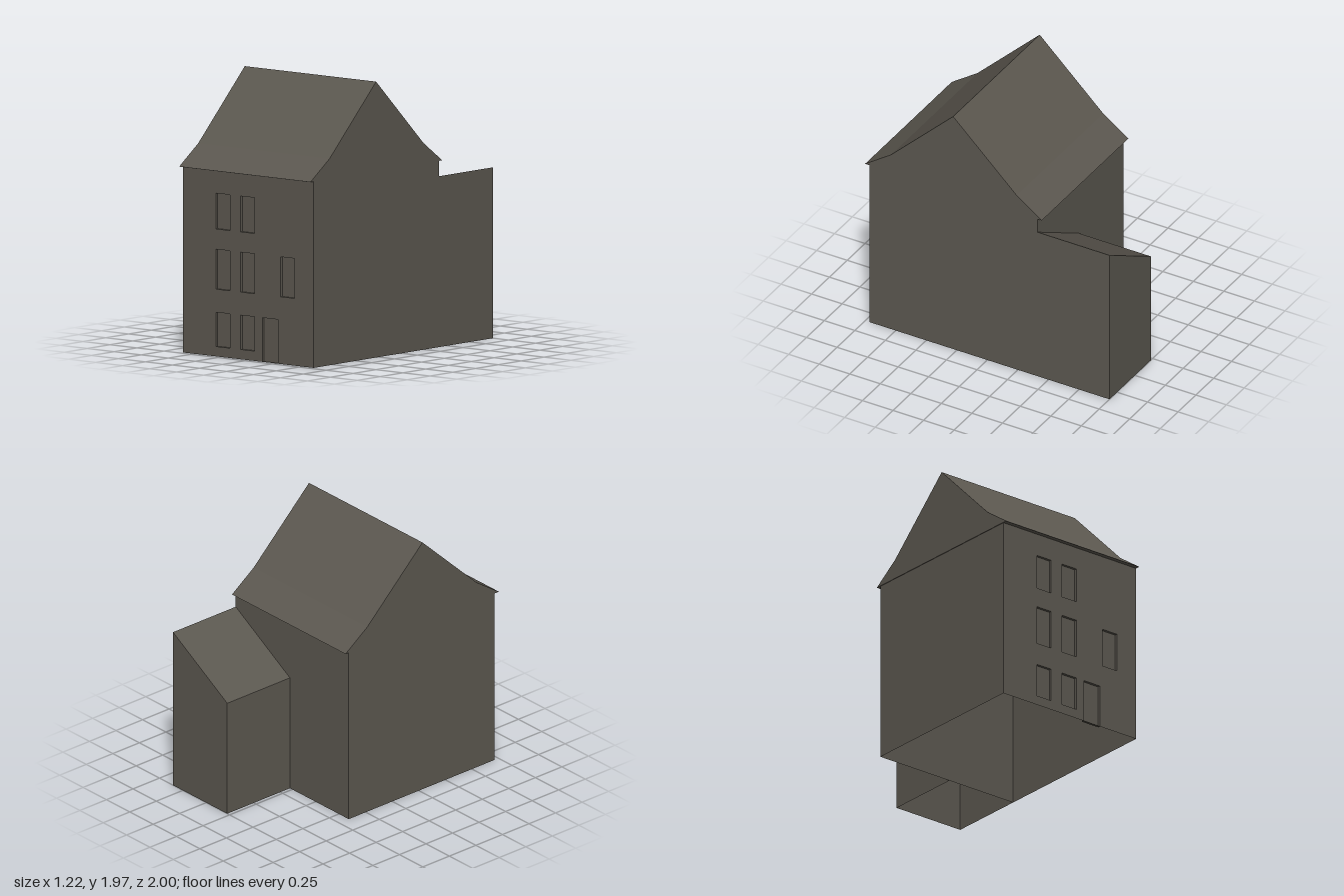
import * as THREE from 'three';

export function createModel() {
  const house = new THREE.Group();
  house.name = 'house';
  const stone = new THREE.MeshStandardMaterial({ color: 0x5b574f, side: THREE.DoubleSide });
  stone.name = 'grey stone';

  const add = (name, geometry, x = 0, y = 0, z = 0) => {
    const mesh = new THREE.Mesh(geometry, stone);
    mesh.name = name;
    mesh.position.set(x, y, z);
    house.add(mesh);
    return mesh;
  };
  const outline = (points) => new THREE.Shape(points.map(([x, y]) => new THREE.Vector2(x, y)));
  const flat = (points) => new THREE.ShapeGeometry(outline(points));

  const W = 0.605, FRONT = 0.965, BACK = -0.41, END = -1, EAVE = 1.33;
  const ANNEX_X = 0.025, ANNEX_HIGH = 1.22, ANNEX_LOW = 0.88, RECESS = 0.02;

  // Openings: [name, left, right, bottom, top]
  const openings = [['door', 0.13, 0.275, 0, 0.315], ['window', 0.3, 0.43, 0.48, 0.765]];
  for (const [bottom, top] of [[0.07, 0.315], [0.48, 0.765], [0.91, 1.165]]) {
    for (const left of [-0.3, -0.07]) openings.push(['window', left, left + 0.13, bottom, top]);
  }

  // Front wall: the door notches the outline, the windows are holes
  const wall = outline([[-W, 0], [0.13, 0], [0.13, 0.315], [0.275, 0.315], [0.275, 0], [W, 0], [W, EAVE], [-W, EAVE]]);
  for (const [name, l, r, b, t] of openings) {
    if (name === 'window') {
      wall.holes.push(new THREE.Path([[l, b], [l, t], [r, t], [r, b]].map(([x, y]) => new THREE.Vector2(x, y))));
    }
    // Recess: a shallow box without its front face
    const box = new THREE.BoxGeometry(r - l, t - b, RECESS);
    const index = Array.from(box.index.array);
    index.splice(24, 6);
    box.setIndex(index);
    box.clearGroups();
    add(name, box, (l + r) / 2, (b + t) / 2, FRONT - RECESS / 2);
  }
  add('frontWall', new THREE.ShapeGeometry(wall), 0, 0, FRONT);

  // Back wall
  add('backWall', flat([[-W, 0], [W, 0], [W, EAVE], [-W, EAVE]]), 0, 0, BACK).rotation.y = Math.PI;

  // Side walls; profile x runs along -z
  add('rightSideWall', flat([[-FRONT, 0], [-BACK, 0], [-BACK, EAVE], [-FRONT, EAVE]]), -W).rotation.y = Math.PI / 2;
  add('leftSideWall', flat([[-FRONT, 0], [-END, 0], [-END, ANNEX_HIGH], [-BACK, ANNEX_HIGH],
    [-BACK, EAVE], [-FRONT, EAVE]]), W).rotation.y = Math.PI / 2;

  // Main roof: gabled prism with flared eaves
  const gable = outline([[-1, EAVE], [0.445, EAVE], [0.24, 1.475], [-0.28, 1.97], [-0.79, 1.475]]);
  const roof = new THREE.ExtrudeGeometry(gable, { depth: 2 * W + 0.005, bevelEnabled: false });
  add('mainRoof', roof, -W - 0.005).rotation.y = Math.PI / 2;

  // Rear annex with a lean-to roof
  add('annexBackWall', flat([[-W, 0], [-ANNEX_X, 0], [-ANNEX_X, ANNEX_LOW], [-W, ANNEX_HIGH]]), 0, 0, END)
    .rotation.y = Math.PI;
  add('annexSideWall', flat([[-BACK, 0], [-END, 0], [-END, ANNEX_LOW], [-BACK, ANNEX_LOW]]), ANNEX_X)
    .rotation.y = Math.PI / 2;
  const run = W - ANNEX_X, rise = ANNEX_HIGH - ANNEX_LOW;
  const slope = new THREE.PlaneGeometry(Math.hypot(run, rise), BACK - END);
  slope.rotateX(-Math.PI / 2).rotateZ(Math.atan2(rise, run));
  add('annexRoof', slope, (W + ANNEX_X) / 2, (ANNEX_HIGH + ANNEX_LOW) / 2, (BACK + END) / 2);

  return house;
}
